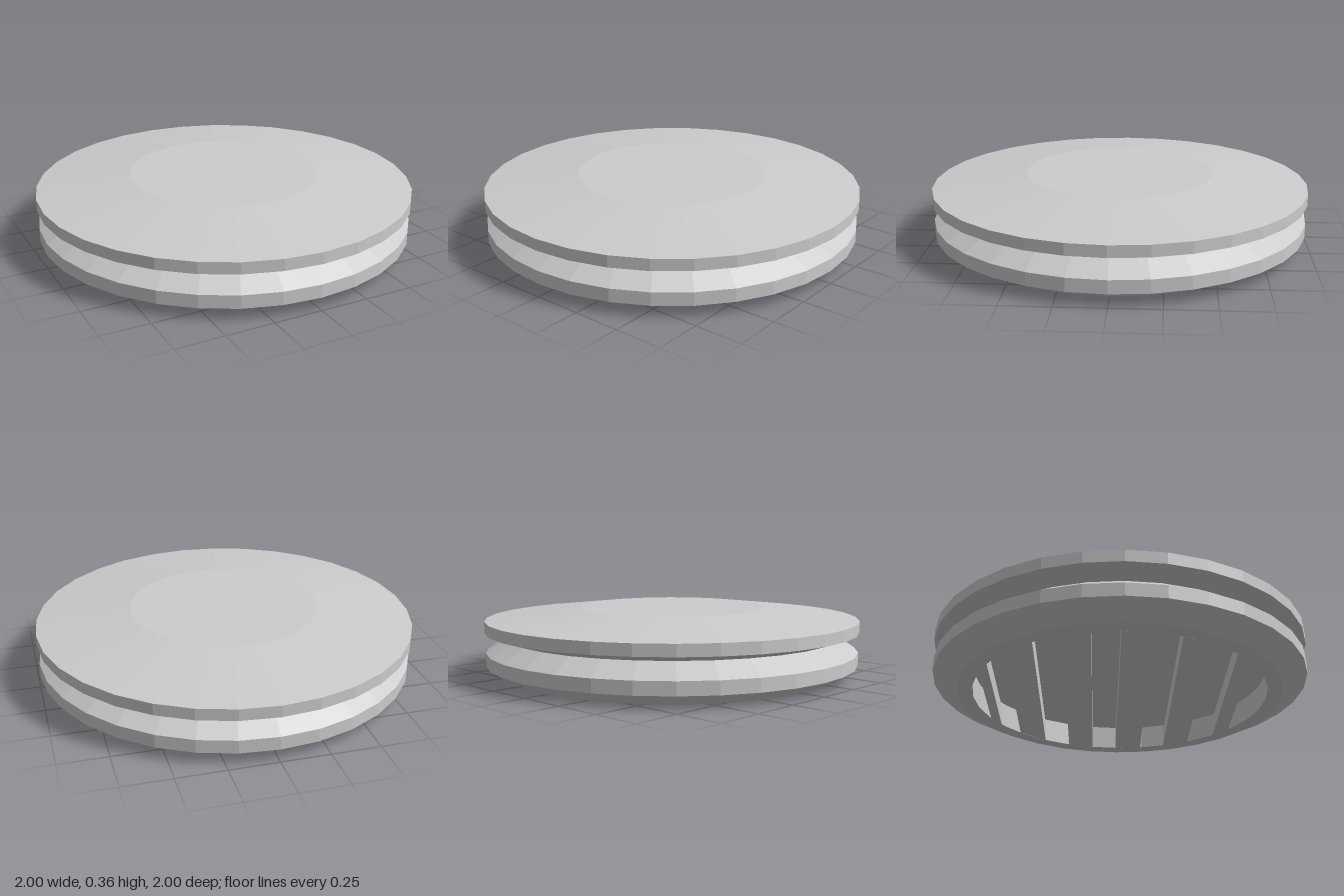
import * as THREE from 'three';

const material = new THREE.MeshStandardMaterial({ color: 0xcccccc, flatShading: true });
const HOLE = 0.785;   // radius of the opening underneath
const BAR_TOP = 0.09; // height of the grille bars

// A straight bar between two z values, its ends cut to the round opening
function createBar(z0, z1) {
  const end = (z) => Math.sqrt(HOLE * HOLE - z * z);
  const shape = new THREE.Shape([
    new THREE.Vector2(-end(z1), -z1),
    new THREE.Vector2(end(z1), -z1),
    new THREE.Vector2(end(z0), -z0),
    new THREE.Vector2(-end(z0), -z0),
  ]);
  const geometry = new THREE.ExtrudeGeometry(shape, { depth: BAR_TOP, bevelEnabled: false });
  geometry.rotateX(-Math.PI / 2);
  const bar = new THREE.Mesh(geometry, material);
  bar.name = 'grilleBar';
  return bar;
}

export function createModel() {
  const group = new THREE.Group();
  group.name = 'groovedDisc';

  // Grooved body: cavity roof, cavity wall, base rim, lower band, groove, upper band, domed lid
  const profile = [
    [0, 0.13], [HOLE, 0.13], [HOLE, 0], [0.865, 0],
    [0.995, 0.065], [0.995, 0.133], [0.885, 0.205],
    [1, 0.24], [1, 0.3], [0.5, 0.36], [0, 0.36],
  ].map(([r, y]) => new THREE.Vector2(r, y));
  const body = new THREE.Mesh(new THREE.LatheGeometry(profile, 32), material);
  body.name = 'body';
  group.add(body);

  // Parallel bars across the opening in the base
  const grille = new THREE.Group();
  grille.name = 'grille';
  const spans = [
    [-0.72, -0.67], [-0.57, -0.43], [-0.29, -0.15],
    [-0.01, 0.14], [0.28, 0.42], [0.56, 0.64],
  ];
  for (const [z0, z1] of spans) grille.add(createBar(z0, z1));
  group.add(grille);

  return group;
}
